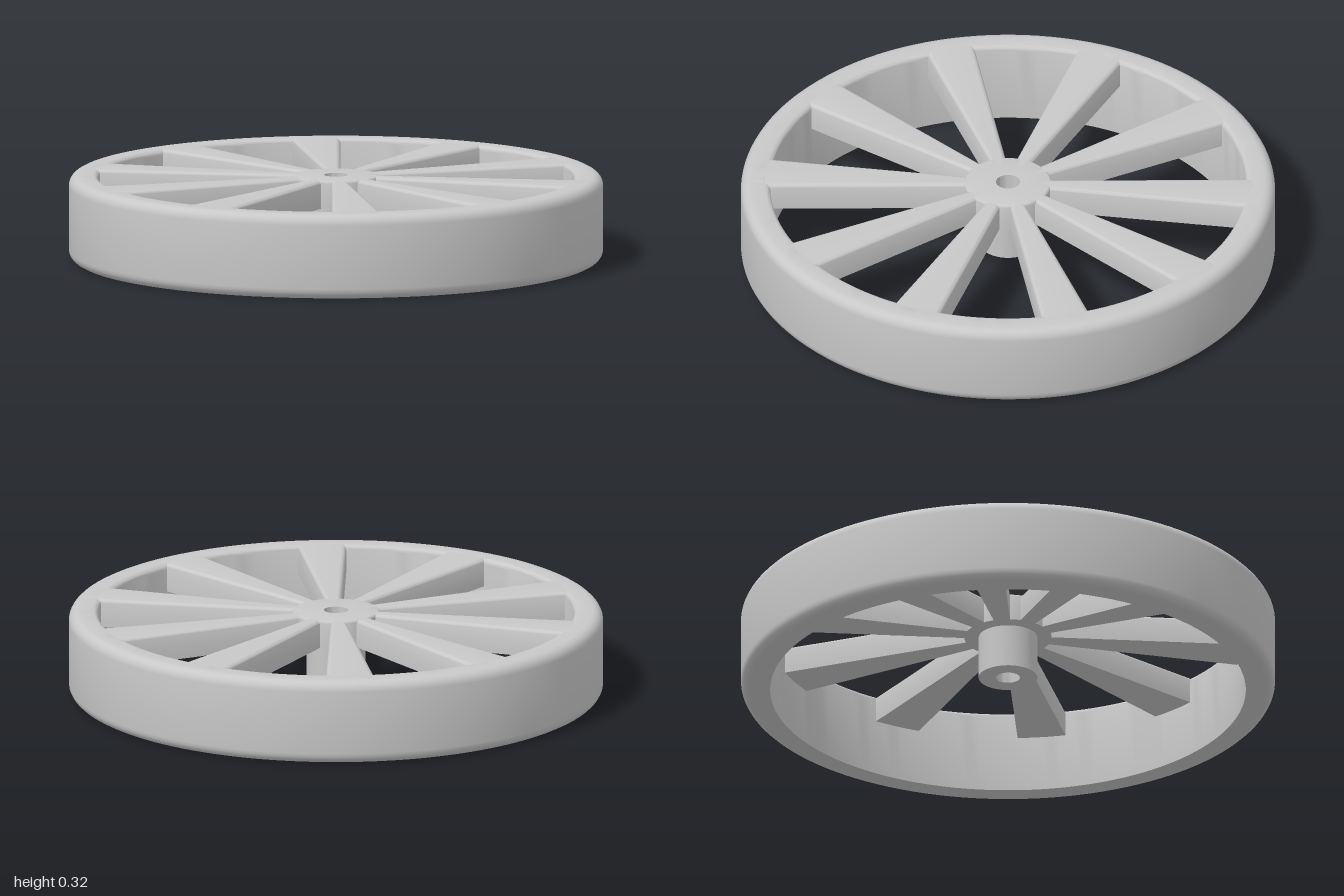
import * as THREE from 'three';
import { toCreasedNormals } from 'three/addons/utils/BufferGeometryUtils.js';

const TOP = 0.32;          // top face shared by rim, spokes and hub
const SPOKE_BOTTOM = 0.215;
const SPOKES = 10;

// Points of a rounded corner, swept from angle a0 to a1
function corner(cx, cy, r, a0, a1, steps = 5) {
  const pts = [];
  for (let i = 0; i <= steps; i++) {
    const a = a0 + (a1 - a0) * i / steps;
    pts.push(new THREE.Vector2(cx + r * Math.cos(a), cy + r * Math.sin(a)));
  }
  return pts;
}

// Turned solid from a closed counterclockwise profile
function turned(points, segments) {
  const geometry = new THREE.LatheGeometry([...points, points[0].clone()], segments);
  return toCreasedNormals(geometry, 0.6);
}

// Spoke cross-section: square below, rounded along both top edges
function spokeSection(halfWidth, fillet) {
  const y = TOP - fillet, c = halfWidth - fillet;
  return [
    new THREE.Vector2(halfWidth, SPOKE_BOTTOM),
    ...corner(c, y, fillet, 0, Math.PI / 2),
    ...corner(-c, y, fillet, Math.PI / 2, Math.PI),
    new THREE.Vector2(-halfWidth, SPOKE_BOTTOM),
  ];
}

// Tapered spoke along +z; both ends are buried in the hub and rim
function spokeGeometry() {
  const zIn = 0.12, zOut = 0.95;
  const a = spokeSection(0.028, 0.018), b = spokeSection(0.096, 0.018);
  const n = a.length, positions = [], index = [];
  for (const p of a) positions.push(p.x, p.y, zIn);
  for (const p of b) positions.push(p.x, p.y, zOut);
  for (let i = 0; i < n; i++) {
    const j = (i + 1) % n;
    index.push(i, j, n + j, i, n + j, n + i);
  }
  const geometry = new THREE.BufferGeometry();
  geometry.setAttribute('position', new THREE.Float32BufferAttribute(positions, 3));
  geometry.setIndex(index);
  return toCreasedNormals(geometry, 0.6);
}

export function createModel() {
  const model = new THREE.Group();
  model.name = 'spokedWheel';
  const grey = new THREE.MeshStandardMaterial({ color: 0xc8c8c8 });
  grey.name = 'grey';
  const add = (name, geometry, parent = model) => {
    const mesh = new THREE.Mesh(geometry, grey);
    mesh.name = name;
    parent.add(mesh);
    return mesh;
  };

  // Rim: tall band with rounded outer edges and a softened inner top edge
  const H = Math.PI / 2, R = 0.04, r = 0.02;
  add('rim', turned([
    new THREE.Vector2(0.89, 0),
    ...corner(1 - R, R, R, -H, 0),
    ...corner(1 - R, TOP - R, R, 0, H),
    ...corner(0.89 + r, TOP - r, r, H, 2 * H),
  ], 128));

  // Hub: flange on a bored shaft that stops short of the ground
  add('hub', turned([
    new THREE.Vector2(0.045, 0.05),
    new THREE.Vector2(0.11, 0.05),
    new THREE.Vector2(0.11, SPOKE_BOTTOM),
    new THREE.Vector2(0.163, SPOKE_BOTTOM),
    ...corner(0.155, TOP - 0.008, 0.008, 0, H, 3),
    new THREE.Vector2(0.045, TOP),
  ], 64));

  // Spokes
  const spokes = new THREE.Group();
  spokes.name = 'spokes';
  model.add(spokes);
  const geometry = spokeGeometry();
  for (let i = 0; i < SPOKES; i++) {
    add('spoke', geometry, spokes).rotation.y = i * Math.PI * 2 / SPOKES;
  }
  return model;
}
